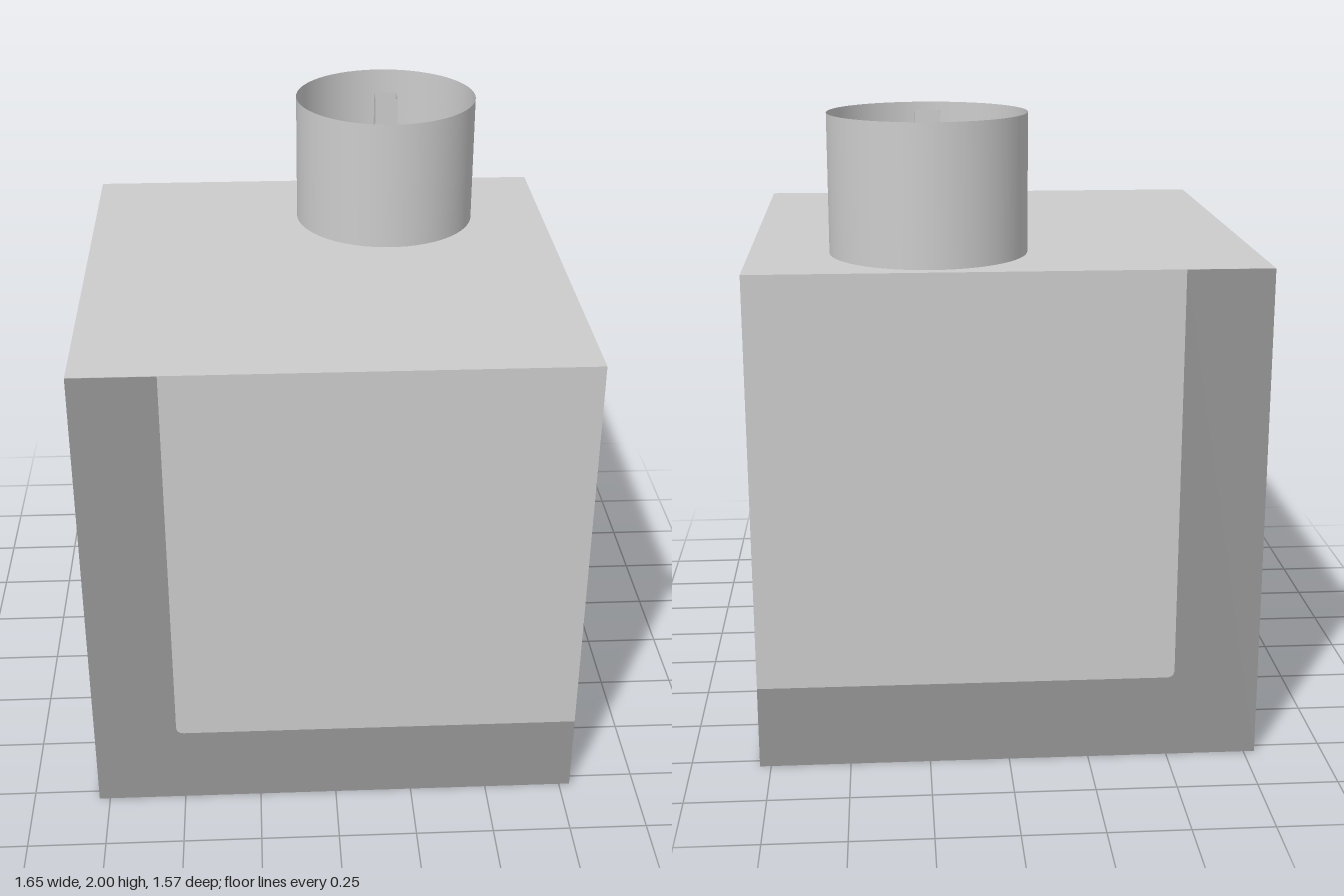
import * as THREE from 'three';

const H = 0.785;        // half width of the cube
const TOP = 1.57;       // height of the cube
const BAND = 0.265;     // width of the dark border
const NOTCH = 0.1;      // half width of the side openings

export function createModel() {
  const model = new THREE.Group();
  const light = new THREE.MeshStandardMaterial({ color: 0xcccccc, side: THREE.DoubleSide });
  light.name = 'light grey';
  const dark = new THREE.MeshStandardMaterial({ color: 0x969696 });
  dark.name = 'dark grey';

  const add = (parent, name, geometry, material) => {
    const mesh = new THREE.Mesh(geometry, material);
    mesh.name = name;
    parent.add(mesh);
    return mesh;
  };

  // Bottom edge of a wall from left to right, stepping around the opening
  const startOutline = (notch) => {
    const s = new THREE.Shape();
    s.moveTo(-H, 0);
    if (notch) {
      s.lineTo(-NOTCH, 0);
      s.lineTo(-NOTCH, BAND);
      s.lineTo(NOTCH, BAND);
      s.lineTo(NOTCH, 0);
    }
    s.lineTo(H, 0);
    return s;
  };

  // Border along the bottom, with an optional upright stripe on one side
  const borderShape = (stripe, notch) => {
    const s = startOutline(notch);
    const r = 0.025, e = -H + BAND;
    if (stripe < 0) {
      s.lineTo(H, BAND);
      s.lineTo(e + r, BAND);
      s.quadraticCurveTo(e, BAND, e, BAND + r);
      s.lineTo(e, TOP);
      s.lineTo(-H, TOP);
    } else if (stripe > 0) {
      s.lineTo(H, TOP);
      s.lineTo(-e, TOP);
      s.lineTo(-e, BAND + r);
      s.quadraticCurveTo(-e, BAND, -e - r, BAND);
      s.lineTo(-H, BAND);
    } else {
      s.lineTo(H, BAND);
      s.lineTo(-H, BAND);
    }
    return s;
  };

  // Four thin walls: name, turn, side of the upright stripe, opening
  const walls = [
    ['front', 0, -1, false],
    ['left', Math.PI / 2, -1, true],
    ['back', Math.PI, 1, false],
    ['right', -Math.PI / 2, 0, true],
  ];
  for (const [name, turn, stripe, notch] of walls) {
    const group = new THREE.Group();
    group.name = name + 'Wall';
    group.rotation.y = turn;
    const panel = startOutline(notch);
    panel.lineTo(H, TOP);
    panel.lineTo(-H, TOP);
    add(group, name + 'Panel', new THREE.ShapeGeometry(panel), light).position.z = H;
    add(group, name + 'Border', new THREE.ShapeGeometry(borderShape(stripe, notch), 6), dark)
      .position.z = H + 0.002;
    model.add(group);
  }

  // Roof and floor
  const slab = () => new THREE.PlaneGeometry(2 * H, 2 * H);
  add(model, 'roof', slab().rotateX(-Math.PI / 2), light).position.y = TOP;
  add(model, 'floor', slab().rotateX(Math.PI / 2), light);

  // Open square tube standing along y
  const squareTube = (w, h, d) => {
    const g = new THREE.CylinderGeometry(Math.SQRT1_2, Math.SQRT1_2, 1, 4, 1, true)
      .rotateY(Math.PI / 4).scale(w, h, d).toNonIndexed();
    g.computeVertexNormals();
    return g;
  };

  // Short collars around the two side openings
  for (const side of [-1, 1]) {
    const collar = squareTube(BAND, 0.04, 2 * NOTCH).rotateZ(Math.PI / 2);
    add(model, side > 0 ? 'leftCollar' : 'rightCollar', collar, light)
      .position.set(side * (H + 0.02), BAND / 2, 0);
  }

  // Round chimney with a square pipe inside
  const chimney = new THREE.Group();
  chimney.name = 'chimney';
  chimney.position.set(0.23, (TOP + 2) / 2, -0.44);
  add(chimney, 'chimneyPipe', new THREE.CylinderGeometry(0.307, 0.307, 2 - TOP, 64, 1, true), light);
  add(chimney, 'innerPipe', squareTube(0.075, 2 - TOP, 0.07), light);
  model.add(chimney);

  return model;
}
